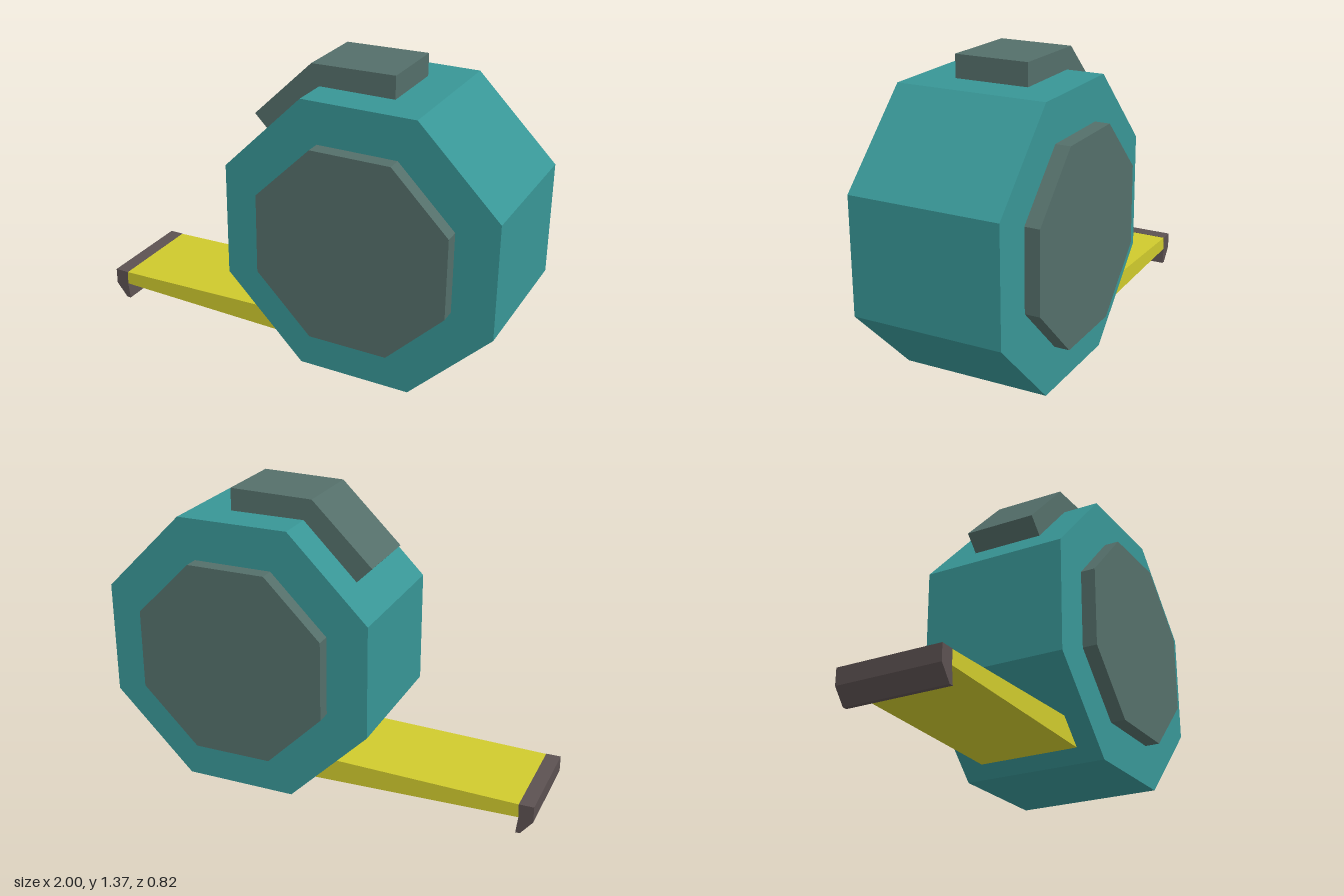
import * as THREE from 'three';

const flat = (name, color) => {
  const m = new THREE.MeshStandardMaterial({ color });
  m.name = name;
  return m;
};

// Extrude a side profile symmetrically about z = 0
function slab(name, points, halfDepth, material) {
  const shape = new THREE.Shape(points.map(([x, y]) => new THREE.Vector2(x, y)));
  const geometry = new THREE.ExtrudeGeometry(shape, { depth: halfDepth * 2, bevelEnabled: false });
  geometry.translate(0, 0, -halfDepth);
  const mesh = new THREE.Mesh(geometry, material);
  mesh.name = name;
  return mesh;
}

// Regular octagon with flat top and bottom, given its centre and apothem
function octagon(cx, cy, apothem) {
  const r = apothem / Math.cos(Math.PI / 8);
  return Array.from({ length: 8 }, (_, i) => {
    const a = (i + 0.5) * Math.PI / 4;
    return [cx + r * Math.cos(a), cy + r * Math.sin(a)];
  });
}

export function createModel() {
  const teal = flat('teal casing', 0x389696);
  const grey = flat('grey rubber', 0x546f6a);
  const yellow = flat('yellow tape', 0xcfca2d);
  const dark = flat('dark metal', 0x5c5151);

  const group = new THREE.Group();
  group.name = 'tapeMeasure';

  // Octagonal casing with a raised panel on each side
  group.add(slab('casing', octagon(0.366, 0.634, 0.633), 0.342, teal));
  for (const side of [1, -1]) {
    const panel = slab('sidePanel', octagon(0.366, 0.636, 0.443), 0.04, grey);
    panel.position.z = side * 0.37;
    group.add(panel);
  }

  // Bent lock button wrapping the top corner
  group.add(slab('lockButton', [
    [0.455, 1.37], [0.065, 1.363], [-0.215, 1.09], [-0.125, 1.0],
    [0.11, 1.235], [0.455, 1.24],
  ], 0.17, grey));

  // Tapering tape blade running into the casing
  group.add(slab('tapeBlade', [
    [-0.935, 0.08], [0.3, 0.05], [0.3, 0.175], [-0.935, 0.144],
  ], 0.239, yellow));

  // End hook
  group.add(slab('endHook', [
    [-1, 0.145], [-1, 0.07], [-0.945, 0.002], [-0.925, 0.002],
    [-0.934, 0.08], [-0.932, 0.145],
  ], 0.24, dark));

  return group;
}
